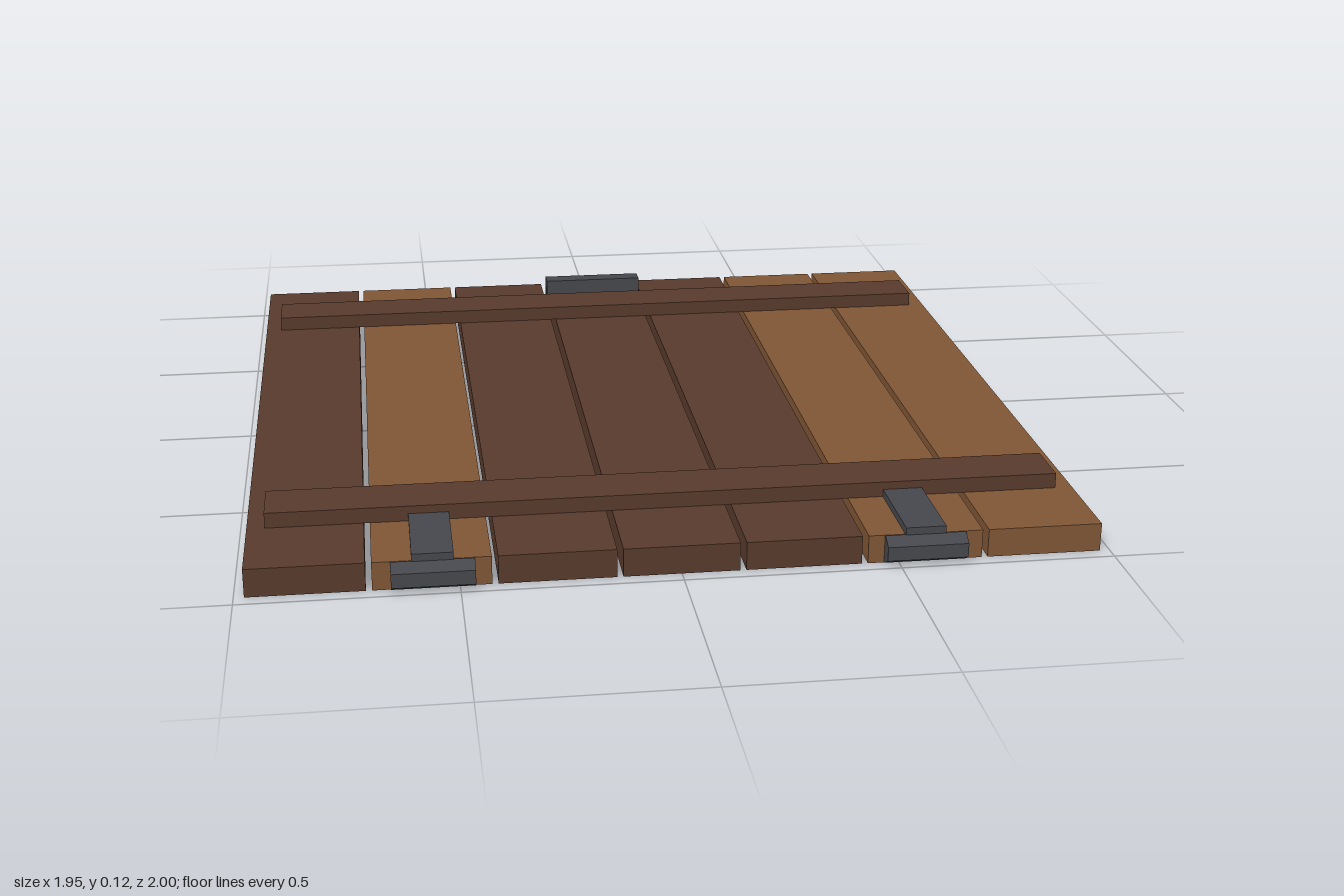
import * as THREE from 'three';

const mat = (name, color) => {
  const m = new THREE.MeshStandardMaterial({ color });
  m.name = name;
  return m;
};

export function createModel() {
  const darkWood = mat('darkWood', 0x573a2c);
  const lightWood = mat('lightWood', 0x7f5635);
  const iron = mat('iron', 0x46474c);
  const group = new THREE.Group();
  group.name = 'plankHatch';

  const add = (name, geometry, material, x, y, z) => {
    const mesh = new THREE.Mesh(geometry, material);
    mesh.name = name;
    mesh.position.set(x, y, z);
    group.add(mesh);
  };
  // Box given by its centre in x and its limits in y and z
  const box = (name, material, x, width, y0, y1, z0, z1) =>
    add(name, new THREE.BoxGeometry(width, y1 - y0, z1 - z0), material,
      x, (y0 + y1) / 2, (z0 + z1) / 2);

  // Seven planks with narrow gaps
  const top = 0.068;
  const woods = [darkWood, lightWood, darkWood, darkWood, darkWood, lightWood, lightWood];
  woods.forEach((wood, i) =>
    box('plank' + (i + 1), wood, (i - 3) * 0.281, 0.267, 0, top, -1, 0.966));

  // Cross battens
  box('frontBatten', darkWood, 0, 1.87, top, 0.105, 0.62, 0.75);
  box('backBatten', darkWood, 0, 1.87, top, 0.105, -0.785, -0.655);

  // Handle bar
  box('handle', iron, 0, 0.28, top, 0.119, -0.912, -0.865);

  // Hinges: strap under the batten and a six-sided barrel at the edge
  const barrel = new THREE.CylinderGeometry(0.034, 0.034, 0.188, 6, 1, false, Math.PI / 6)
    .toNonIndexed().rotateZ(Math.PI / 2);
  barrel.computeVertexNormals();
  for (const [side, s] of [['left', 1], ['right', -1]]) {
    box(side + 'HingeStrap', iron, s * 0.56, 0.094, top, 0.086, 0.592, 0.972);
    add(side + 'HingeBarrel', barrel, iron, s * 0.56, 0.035, 0.9705);
  }
  return group;
}
